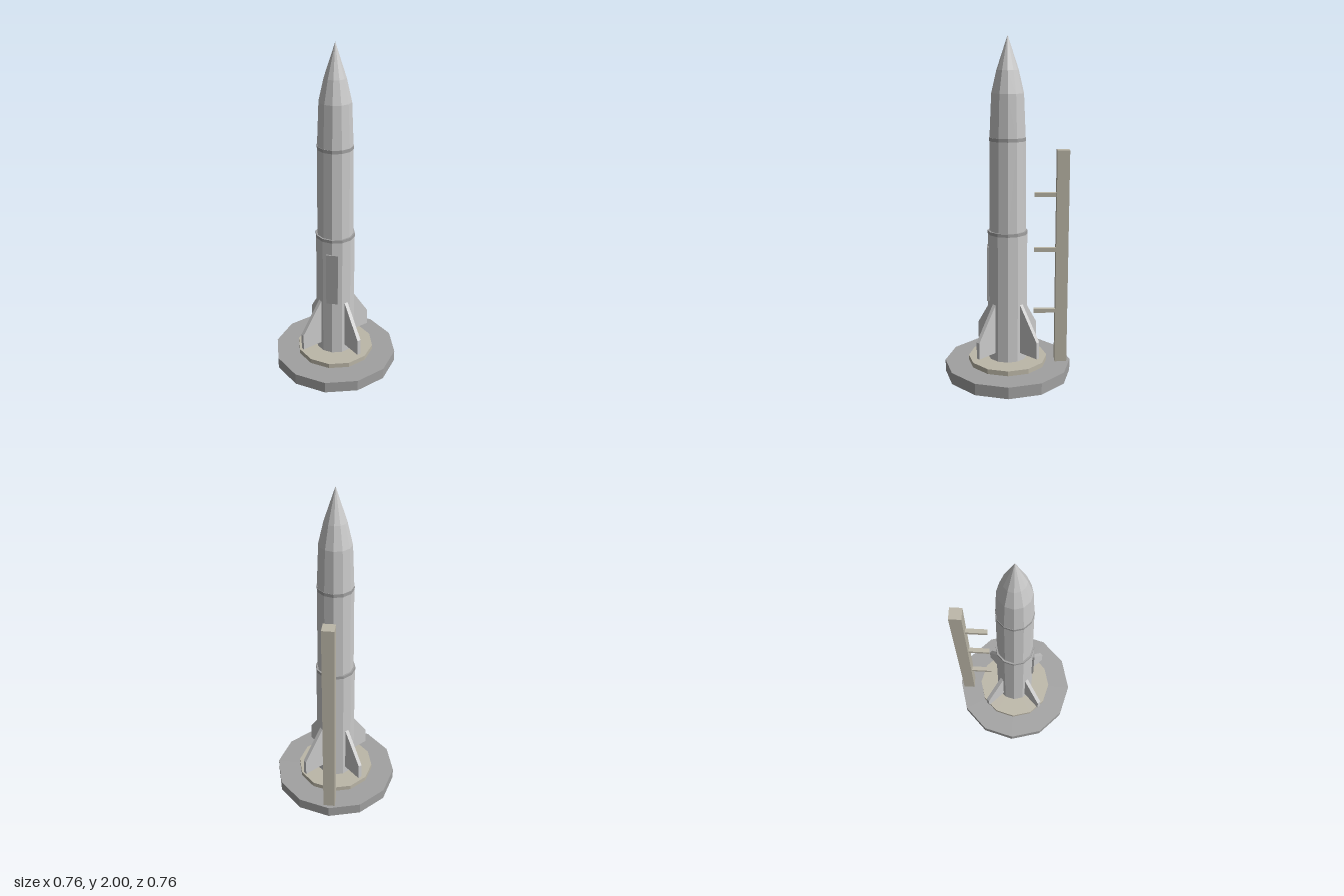
import * as THREE from 'three';

const SIDES = 12;
const material = (color) => new THREE.MeshStandardMaterial({ color, flatShading: true });

export function createModel() {
  const model = new THREE.Group();
  model.name = 'rocketOnLaunchPad';
  const light = material(0xcccccc);
  const dark = material(0xa1a1a1);
  const tan = material(0xbcb7a8);

  const add = (name, geometry, mat, x = 0, y = 0, z = 0, parent = model) => {
    const mesh = new THREE.Mesh(geometry, mat);
    mesh.name = name;
    mesh.position.set(x, y, z);
    parent.add(mesh);
    return mesh;
  };
  // Faceted drum between two heights
  const drum = (name, rTop, rBottom, y0, y1, mat) =>
    add(name, new THREE.CylinderGeometry(rTop, rBottom, y1 - y0, SIDES), mat, 0, (y0 + y1) / 2, 0);

  // Launch pad
  drum('padBase', 0.38, 0.38, 0, 0.07, dark);
  drum('padPlate', 0.237, 0.237, 0.07, 0.1, tan);

  // Rocket stages and the collars between them
  drum('lowerStage', 0.116, 0.118, 0.1, 0.875, light);
  drum('lowerCollar', 0.118, 0.118, 0.868, 0.887, dark);
  drum('upperStage', 0.104, 0.108, 0.88, 1.42, light);
  drum('upperCollar', 0.106, 0.106, 1.412, 1.432, dark);

  // Nose section, tapering to a point
  const noseProfile = [[0.104, 1.425], [0.093, 1.68], [0.063, 1.81], [0, 2]]
    .map(([r, y]) => new THREE.Vector2(r, y));
  add('nose', new THREE.LatheGeometry(noseProfile, SIDES), light);

  // Four swept fins on the diagonals
  const finShape = new THREE.Shape([[0.09, 0.15], [0.247, 0.15], [0.247, 0.25], [0.1, 0.47], [0.09, 0.47]]
    .map(([x, y]) => new THREE.Vector2(x, y)));
  const thickness = 0.023;
  const finGeometry = new THREE.ExtrudeGeometry(finShape, { depth: thickness, bevelEnabled: false });
  finGeometry.translate(0, 0, -thickness / 2);
  for (let i = 0; i < 4; i++) {
    add(`fin${i + 1}`, finGeometry, light).rotation.y = Math.PI / 4 + i * Math.PI / 2;
  }

  // Hatch on the front of the lower stage
  add('hatch', new THREE.BoxGeometry(0.07, 0.33, 0.012), dark, 0, 0.625, 0.116);

  // Service tower behind the rocket, with three arms
  const tower = new THREE.Group();
  tower.name = 'serviceTower';
  model.add(tower);
  add('towerMast', new THREE.BoxGeometry(0.07, 1.29, 0.072), tan, 0, 0.715, -0.321, tower);
  [0.387, 0.766, 1.098].forEach((y, i) =>
    add(`towerArm${i + 1}`, new THREE.BoxGeometry(0.026, 0.025, 0.133), tan, 0, y, -0.2235, tower));

  return model;
}
